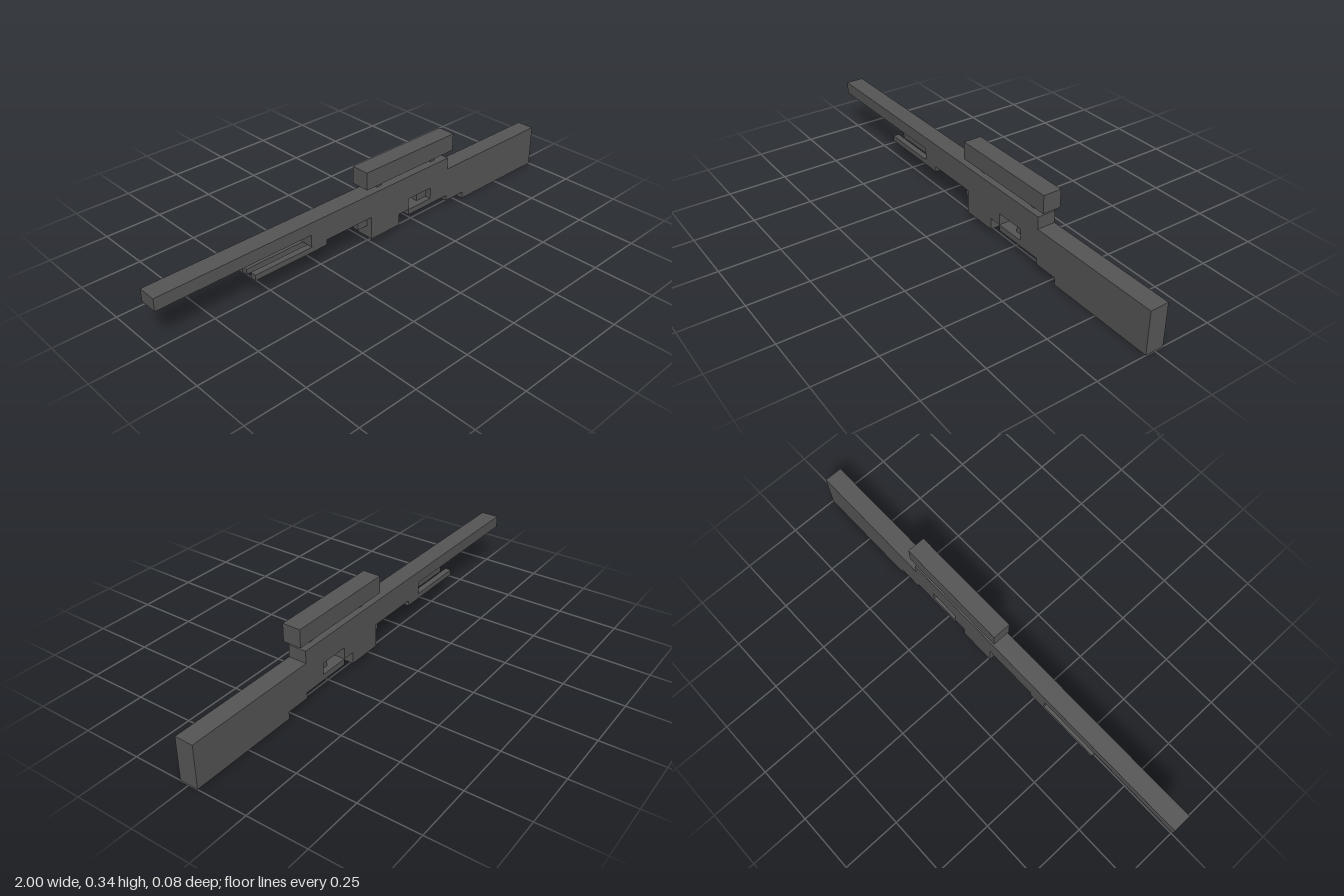
import * as THREE from 'three';

const HALF = 0.039;  // half thickness of the full-width parts
const THIN = 0.013;  // half thickness of the narrow parts

export function createModel() {
  const model = new THREE.Group();
  const gunmetal = new THREE.MeshStandardMaterial({ color: 0x555555 });
  gunmetal.name = 'gunmetal';

  const add = (name, geometry) => {
    const mesh = new THREE.Mesh(geometry, gunmetal);
    mesh.name = name;
    model.add(mesh);
  };

  // Box given by its limits on each axis
  const block = (name, x0, x1, y0, y1, z0 = -HALF, z1 = HALF) => {
    const g = new THREE.BoxGeometry(x1 - x0, y1 - y0, z1 - z0);
    g.translate((x0 + x1) / 2, (y0 + y1) / 2, (z0 + z1) / 2);
    add(name, g);
  };

  // Full-width plate cut from a side outline
  const plate = (name, points) => {
    const shape = new THREE.Shape(points.map(([x, y]) => new THREE.Vector2(x, y)));
    const g = new THREE.ExtrudeGeometry(shape, { depth: 2 * HALF, bevelEnabled: false });
    g.translate(0, 0, -HALF);
    add(name, g);
  };

  // Barrel and the stepped body below it
  block('barrel', -1, 0.425, 0.183, 0.235);
  plate('receiver', [
    [-0.325, 0.183], [-0.325, 0.13], [-0.015, 0.13], [-0.015, 0.03],
    [0.14, 0.03], [0.14, 0.08], [0.195, 0.08], [0.195, 0.13],
    [0.325, 0.13], [0.325, 0.055], [0.425, 0.055], [0.425, 0.183],
  ]);
  plate('stock', [
    [0.425, 0.183], [0.425, 0.03], [0.53, 0.03], [0.53, 0], [1, 0], [1, 0.183],
  ]);

  // Trigger and its guard
  block('triggerGuard', 0.195, 0.325, 0.055, 0.08);
  block('trigger', 0.27, 0.325, 0.08, 0.13, -THIN, THIN);

  // Narrow stepped catch in front of the magazine
  block('catchUpper', -0.09, -0.015, 0.108, 0.13, -THIN, THIN);
  block('catchLower', -0.065, -0.015, 0.08, 0.108, -THIN, THIN);

  // Folded bipod legs, one on each side
  block('bipodLegFront', -0.59, -0.25, 0.107, 0.13, THIN, HALF);
  block('bipodLegBack', -0.59, -0.25, 0.107, 0.13, -HALF, -THIN);

  // Scope on two narrow mounts
  block('scope', -0.04, 0.452, 0.262, 0.338);
  for (const x of [0.051, 0.36]) {
    block('scopeMount', x - 0.012, x + 0.012, 0.235, 0.262, -THIN, THIN);
  }

  return model;
}
